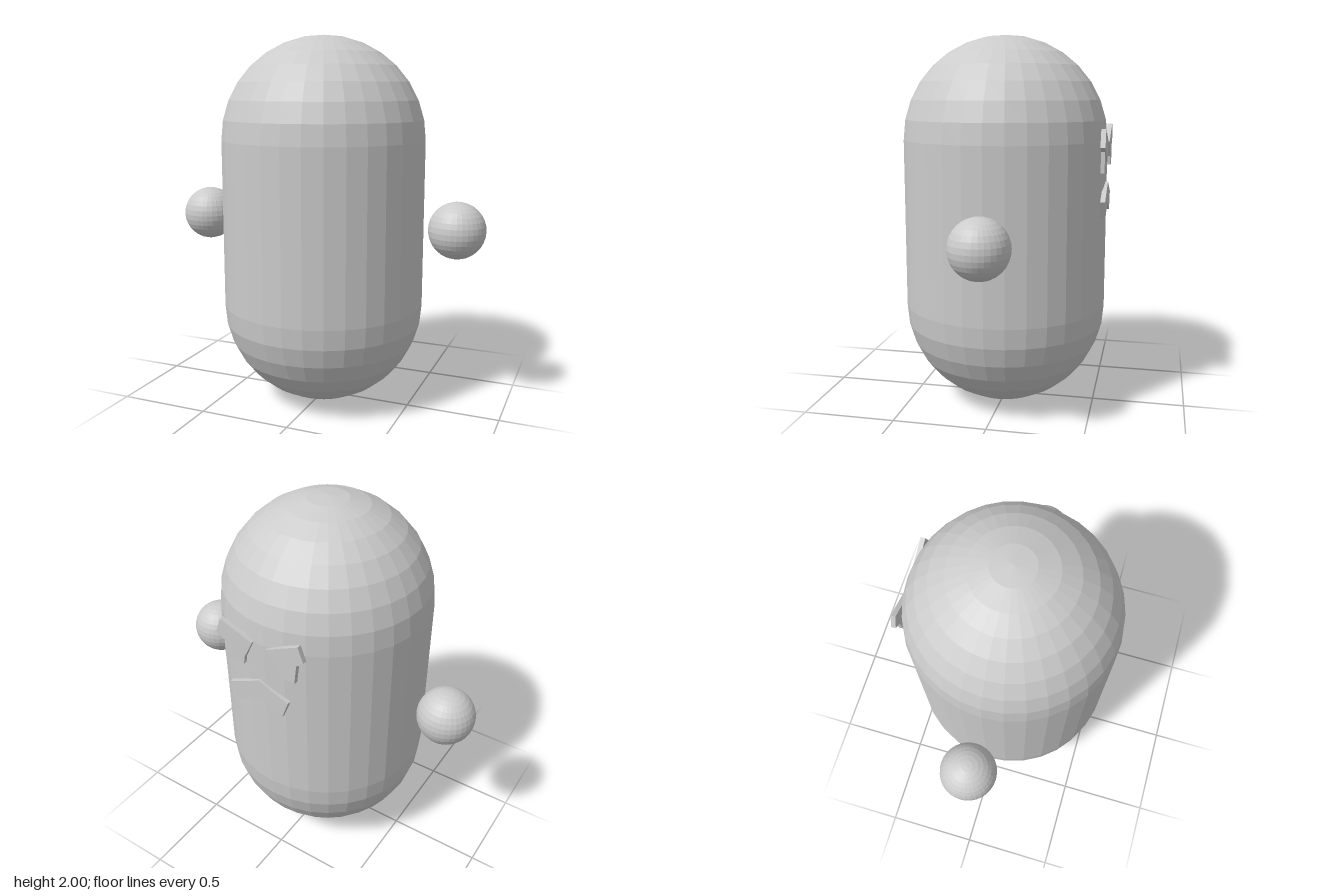
import * as THREE from 'three';

const material = new THREE.MeshStandardMaterial({ color: 0xcccccc, flatShading: true });

function addMesh(parent, name, geometry, x = 0, y = 0, z = 0) {
  const mesh = new THREE.Mesh(geometry, material);
  mesh.name = name;
  mesh.position.set(x, y, z);
  parent.add(mesh);
  return mesh;
}

// Thin flat plate cut from an outline in the x-y plane
function addPlate(parent, name, outline, z, depth) {
  const shape = new THREE.Shape(outline.map(([x, y]) => new THREE.Vector2(x, y)));
  addMesh(parent, name, new THREE.ExtrudeGeometry(shape, { depth, bevelEnabled: false }), 0, 0, z);
}

export function createModel() {
  const model = new THREE.Group();
  model.name = 'capsuleFigure';

  // Faceted capsule body
  addMesh(model, 'body', new THREE.CapsuleGeometry(0.55, 0.9, 8, 32), 0, 1, 0);

  // Floating ball hands
  for (const [name, side] of [['leftHand', 1], ['rightHand', -1]]) {
    addMesh(model, name, new THREE.SphereGeometry(0.15, 32, 16), side * 0.738, 0.995, -0.03);
  }

  // Bent plates on the back
  const plates = new THREE.Group();
  plates.name = 'backPlates';
  model.add(plates);

  addPlate(plates, 'lowerPlate', [
    [0.22, 1.15], [0.034, 1.235], [-0.137, 1.165],
    [-0.1, 1.066], [0.042, 1.125], [0.168, 1.062],
  ], -0.56, 0.025);

  addPlate(plates, 'upperRightPlate', [
    [-0.02, 1.443], [-0.205, 1.53], [-0.235, 1.45], [-0.195, 1.418],
    [-0.18, 1.308], [-0.075, 1.315], [-0.073, 1.36],
  ], -0.56, 0.025);

  addPlate(plates, 'upperLeftPlate', [
    [0.245, 1.52], [0.06, 1.45], [0.112, 1.345], [0.28, 1.43],
  ], -0.56, 0.025);

  addPlate(plates, 'upperLeftPlateStub', [
    [0.235, 1.42], [0.235, 1.3], [0.122, 1.3], [0.112, 1.37],
  ], -0.555, 0.02);

  return model;
}
